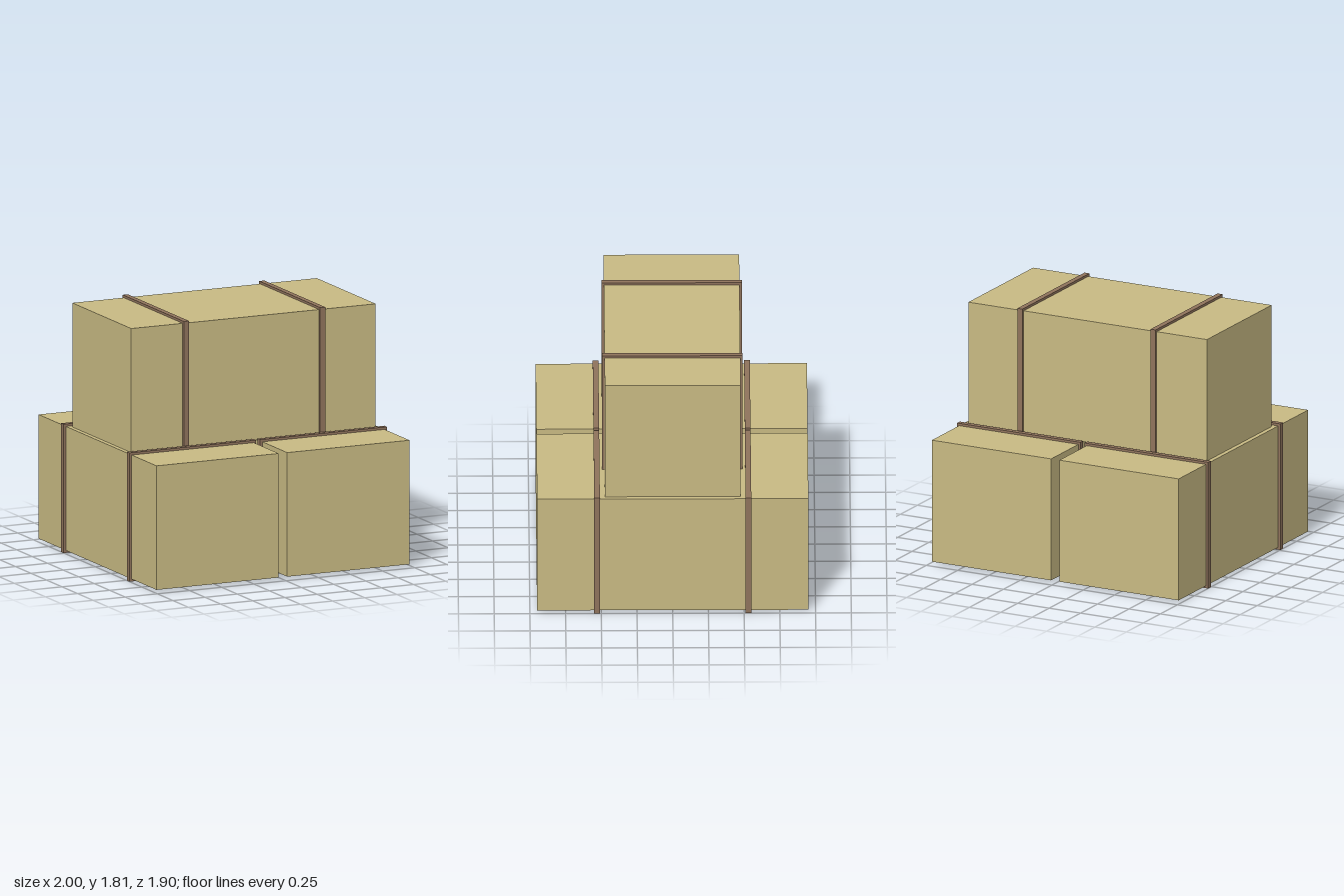
import * as THREE from 'three';

const straw = new THREE.MeshStandardMaterial({ color: 0xc8ba83 });
straw.name = 'straw';
const twine = new THREE.MeshStandardMaterial({ color: 0x8f735c });
twine.name = 'twine';

// Bale dimensions: long axis along local z
const W = 0.95, H = 0.888, L = 1.9;
const STRAP = 0.04, LIP = 0.017, STRAP_POS = 0.53;

function box(name, w, h, d, material) {
  const mesh = new THREE.Mesh(new THREE.BoxGeometry(w, h, d), material);
  mesh.name = name;
  return mesh;
}

// One bale with two straps wrapped around it
function makeBale(name) {
  const bale = new THREE.Group();
  bale.name = name;
  bale.add(box('baleBody', W, H, L, straw));
  for (const side of [-1, 1]) {
    const strap = box('strap', W + 2 * LIP, H + 2 * LIP, STRAP, twine);
    strap.position.z = side * STRAP_POS;
    bale.add(strap);
  }
  return bale;
}

export function createModel() {
  const model = new THREE.Group();
  model.name = 'baleStack';

  // Two bales side by side at the bottom
  for (const side of [-1, 1]) {
    const bale = makeBale(side > 0 ? 'lowerLeftBale' : 'lowerRightBale');
    bale.position.set(side * 0.508, LIP + H / 2, 0);
    model.add(bale);
  }

  // One bale laid crosswise on top
  const top = makeBale('upperBale');
  top.rotation.y = Math.PI / 2;
  top.position.y = LIP + H * 1.5;
  model.add(top);

  return model;
}
